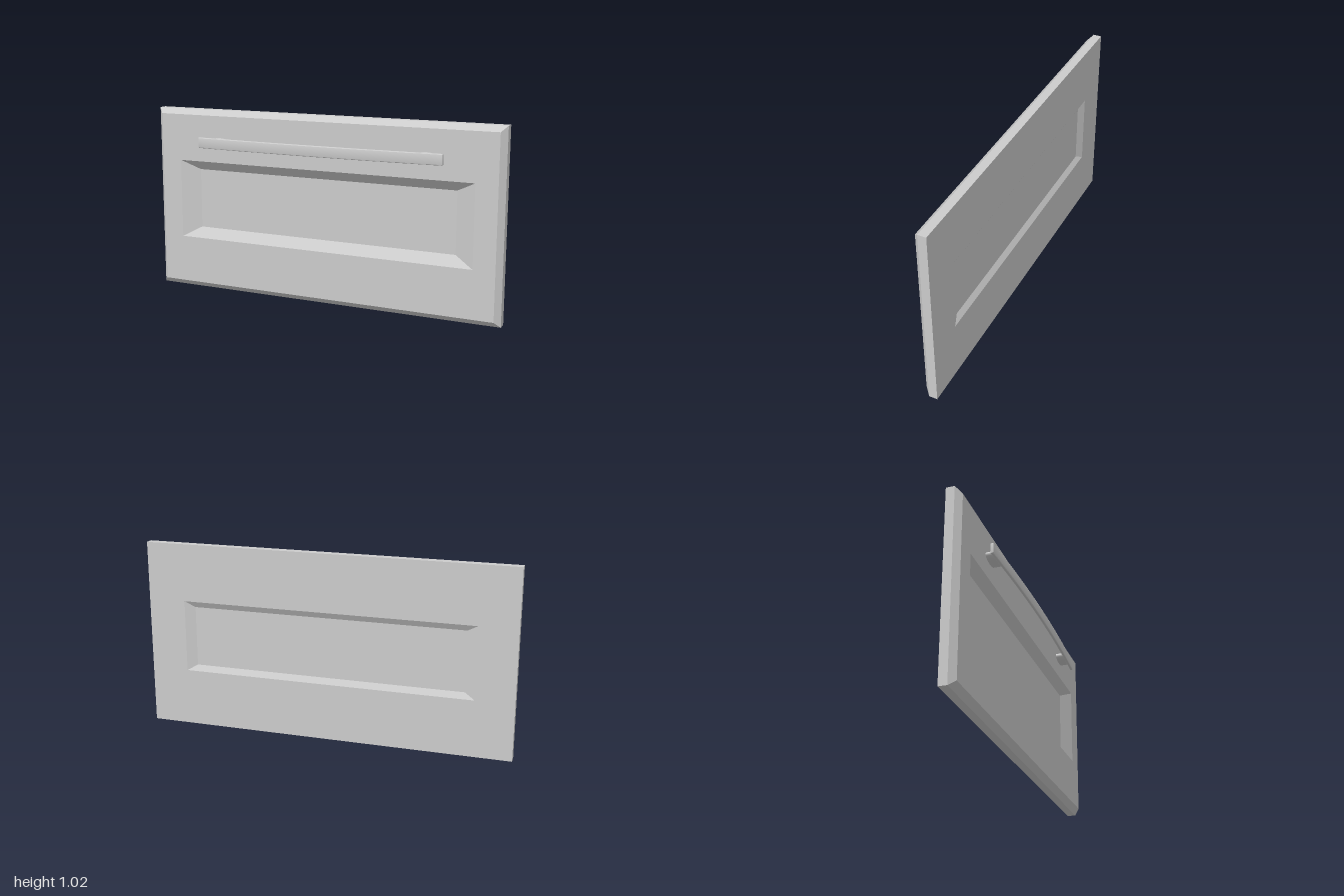
import * as THREE from 'three';
import { toCreasedNormals } from 'three/addons/utils/BufferGeometryUtils.js';

const grey = new THREE.MeshStandardMaterial({ color: 0xcccccc });

function addMesh(parent, name, geometry) {
  const mesh = new THREE.Mesh(geometry, grey);
  mesh.name = name;
  parent.add(mesh);
  return mesh;
}

// Closed flat-faced solid from rectangles [halfWidth, bottom, top, z], back to front
function rectangleLoft(rings) {
  const corners = rings.map(([w, b, t, z]) => [[-w, b, z], [w, b, z], [w, t, z], [-w, t, z]]);
  const positions = [];
  const quad = (a, b, c, d) => positions.push(...a, ...b, ...c, ...a, ...c, ...d);
  const first = corners[0];
  quad(first[3], first[2], first[1], first[0]);
  for (let r = 0; r < corners.length - 1; r++) {
    for (let i = 0; i < 4; i++) {
      const j = (i + 1) % 4;
      quad(corners[r][i], corners[r][j], corners[r + 1][j], corners[r + 1][i]);
    }
  }
  quad(...corners[corners.length - 1]);
  const geometry = new THREE.BufferGeometry();
  geometry.setAttribute('position', new THREE.Float32BufferAttribute(positions, 3));
  geometry.computeVertexNormals();
  return geometry;
}

// Bowed bar: arc outline seen from above, extruded upwards with small rounded edges
function bowedBar(halfLength, endZ, bow, thickness, height, bevel) {
  const x = halfLength - bevel;
  const back = endZ + bevel;
  const front = endZ + thickness - bevel;
  const shape = new THREE.Shape();
  shape.moveTo(-x, -front);
  shape.quadraticCurveTo(0, -front - 2 * bow, x, -front);
  shape.lineTo(x, -back);
  shape.quadraticCurveTo(0, -back - 2 * bow, -x, -back);
  const geometry = new THREE.ExtrudeGeometry(shape, {
    depth: height - 2 * bevel, curveSegments: 24,
    bevelEnabled: true, bevelSize: bevel, bevelThickness: bevel, bevelSegments: 3,
  });
  geometry.translate(0, 0, bevel).rotateX(-Math.PI / 2);
  return toCreasedNormals(geometry, Math.PI / 5);
}

export function createModel() {
  const model = new THREE.Group();
  model.name = 'drawerFront';

  // Panel with bevelled front edge and a sunken field on both faces
  addMesh(model, 'panel', rectangleLoft([
    [0.74, 0.342, 0.67, -0.056],
    [0.795, 0.31, 0.703, -0.075],
    [1, 0, 1.016, -0.075],
    [1, 0, 1.016, -0.03],
    [0.97, 0.03, 0.986, 0],
    [0.853, 0.29, 0.728, 0],
    [0.75, 0.346, 0.677, -0.042],
  ]));

  // Handle: bowed bar on two oval posts
  const handle = new THREE.Group();
  handle.name = 'handle';
  model.add(handle);
  addMesh(handle, 'handleBar', bowedBar(0.7, 0.04, 0.022, 0.015, 0.058, 0.004)).position.y = 0.812;
  for (const side of [-1, 1]) {
    const post = new THREE.CylinderGeometry(1, 1, 0.05, 32);
    post.rotateX(Math.PI / 2).scale(0.063, 0.025, 1);
    addMesh(handle, side > 0 ? 'leftPost' : 'rightPost', post).position.set(side * 0.597, 0.841, 0.023);
  }
  return model;
}
